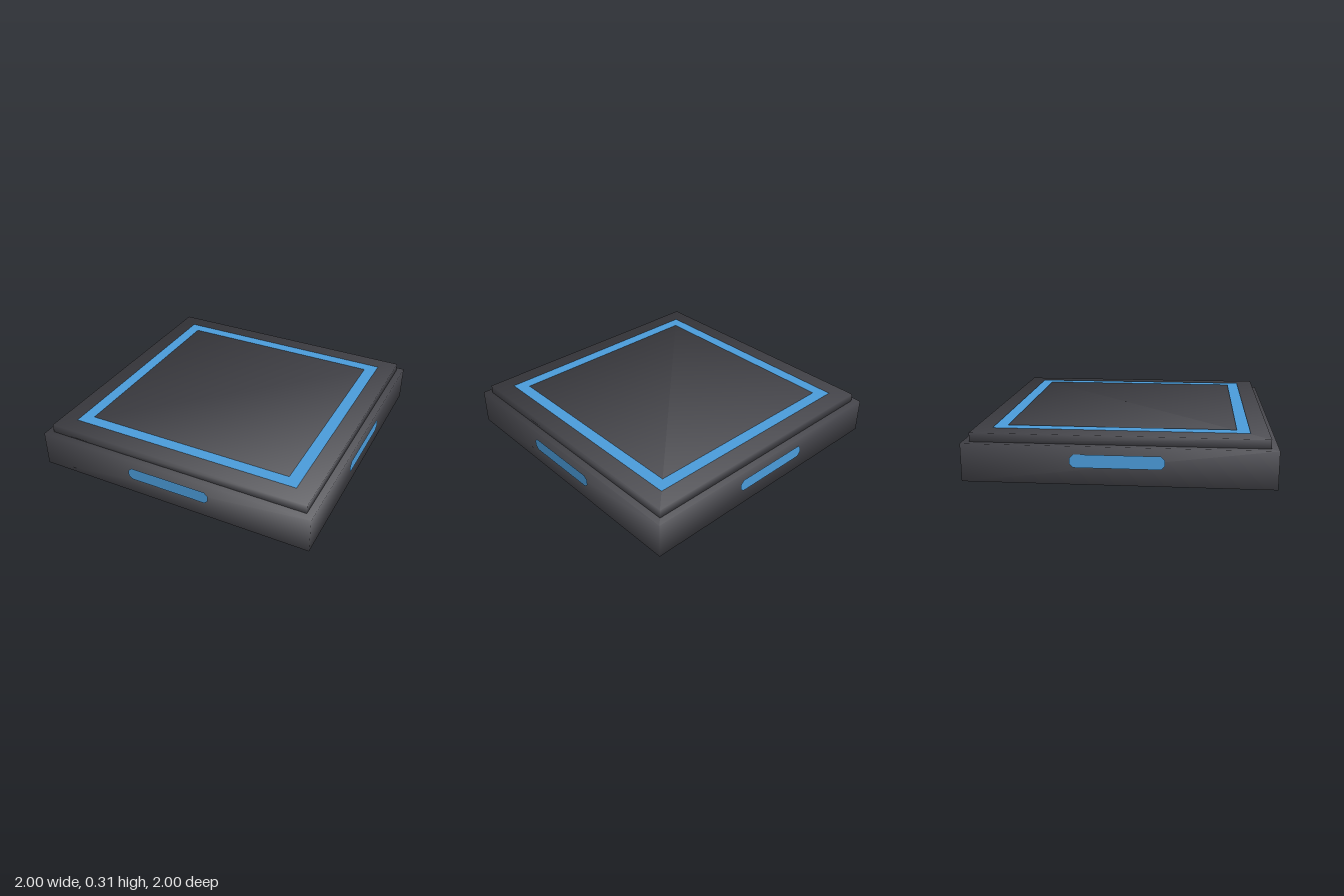
import * as THREE from 'three';

const dark = new THREE.MeshStandardMaterial({ color: 0x47474d });
dark.name = 'charcoal';
const blue = new THREE.MeshStandardMaterial({ color: 0x4a9bd9, side: THREE.DoubleSide });
blue.name = 'light blue';

// Box standing on y0, with normals smoothed evenly across its corners
function softBox(name, half, y0, y1) {
  const geo = new THREE.BoxGeometry(2 * half, y1 - y0, 2 * half);
  const pos = geo.attributes.position;
  const n = new THREE.Vector3();
  for (let i = 0; i < pos.count; i++) {
    n.set(Math.sign(pos.getX(i)), Math.sign(pos.getY(i)), Math.sign(pos.getZ(i))).normalize();
    geo.attributes.normal.setXYZ(i, n.x, n.y, n.z);
  }
  const mesh = new THREE.Mesh(geo, dark);
  mesh.name = name;
  mesh.position.y = (y0 + y1) / 2;
  return mesh;
}

const square = (h) => [[-h, -h], [h, -h], [h, h], [-h, h]].map(([x, y]) => new THREE.Vector2(x, y));

export function createModel() {
  const model = new THREE.Group();
  model.name = 'floorPad';

  // Base slab and the slightly smaller raised deck
  model.add(softBox('base', 0.992, 0, 0.248));
  model.add(softBox('deck', 0.945, 0.248, 0.307));

  // Square glowing border on the deck
  const frame = new THREE.Shape(square(0.825));
  frame.holes.push(new THREE.Path(square(0.742).reverse()));
  const border = new THREE.Mesh(new THREE.ShapeGeometry(frame), blue);
  border.name = 'deckBorder';
  border.rotation.x = -Math.PI / 2;
  border.position.y = 0.311;
  model.add(border);

  // Chamfered light strip, one on each side
  const w = 0.298, h = 0.043, c = 0.025;
  const strip = new THREE.Shape([
    [-w + c, -h], [w - c, -h], [w, -h + c], [w, h - c],
    [w - c, h], [-w + c, h], [-w, h - c], [-w, -h + c],
  ].map(([x, y]) => new THREE.Vector2(x, y)));
  const stripGeo = new THREE.ShapeGeometry(strip).translate(0, 0.155, 1);
  ['front', 'left', 'back', 'right'].forEach((side, i) => {
    const light = new THREE.Mesh(stripGeo, blue);
    light.name = side + 'Light';
    light.rotation.y = (i * Math.PI) / 2;
    model.add(light);
  });

  return model;
}
